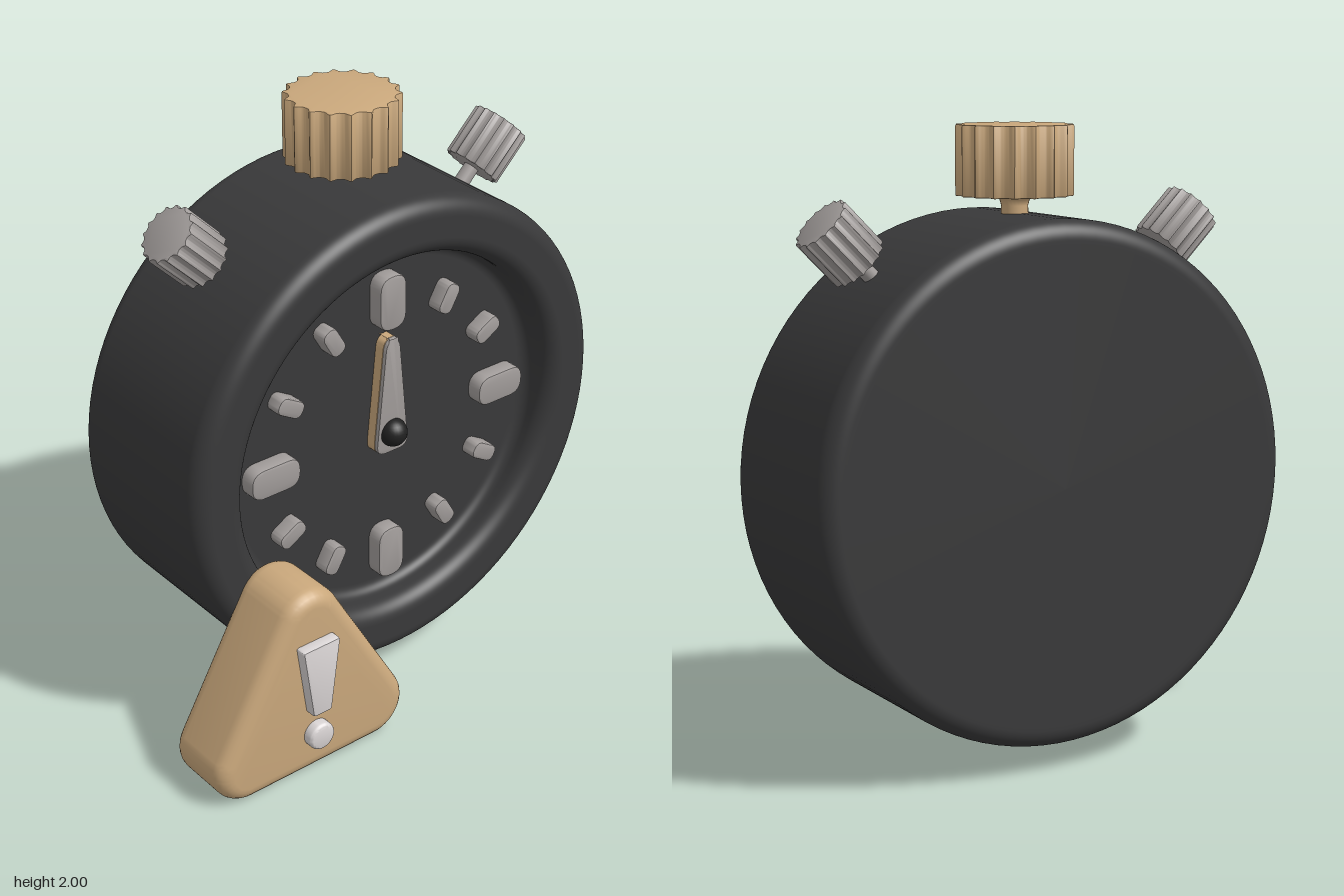
import * as THREE from 'three';
import { toCreasedNormals } from 'three/addons/utils/BufferGeometryUtils.js';

const material = (color) => new THREE.MeshStandardMaterial({ color });
const CX = 0.053, CY = 0.905, CROWN_Z = -0.142, FLOOR = 0.06;

// Closed outline with its corners rounded by r
function roundedPoly(corners, r) {
  const pts = corners.map(([x, y]) => new THREE.Vector2(x, y));
  const shape = new THREE.Shape();
  pts.forEach((p, i) => {
    const prev = pts[(i + pts.length - 1) % pts.length];
    const next = pts[(i + 1) % pts.length];
    const a = prev.clone().sub(p).setLength(r).add(p);
    const b = next.clone().sub(p).setLength(r).add(p);
    if (i === 0) shape.moveTo(a.x, a.y); else shape.lineTo(a.x, a.y);
    shape.quadraticCurveTo(p.x, p.y, b.x, b.y);
  });
  shape.closePath();
  return shape;
}

// Solid of the outline between z0 and z1, with a bevel kept inside the outline
function slab(shape, z0, z1, bevel, segments = 2, curveSegments = 8) {
  const geo = new THREE.ExtrudeGeometry(shape, {
    depth: z1 - z0 - 2 * bevel, bevelEnabled: true, bevelThickness: bevel,
    bevelSize: bevel, bevelOffset: -bevel, bevelSegments: segments, curveSegments,
  });
  geo.translate(0, 0, z0 + bevel);
  return toCreasedNormals(geo, 0.7);
}

// Knob along y, centred on its own origin, with narrow rounded ridges
function knob(radius, height, ridges) {
  const pts = [], n = ridges * 12;
  for (let i = 0; i < n; i++) {
    const a = (i / n) * Math.PI * 2;
    const r = radius * (0.9 + 0.1 * Math.cos(a * ridges / 2) ** 4);
    pts.push(new THREE.Vector2(r * Math.cos(a), r * Math.sin(a)));
  }
  const geo = slab(new THREE.Shape(pts), -height / 2, height / 2, 0.005, 2);
  return geo.rotateX(-Math.PI / 2);
}

export function createModel() {
  const model = new THREE.Group();
  model.name = 'stopwatch';
  const dark = material(0x39393a), black = material(0x202020);
  const tan = material(0xcaa87c), grey = material(0xa29d9b), pale = material(0xdad5d5);

  const add = (name, geo, mat, parent = model) => {
    const mesh = new THREE.Mesh(geo, mat);
    mesh.name = name;
    parent.add(mesh);
    return mesh;
  };

  // Case: one turned profile with rounded rims and a recessed dial
  const R = 0.821, back = -0.456, front = 0.18, f = 0.062, PI = Math.PI;
  const profile = new THREE.Path();
  profile.moveTo(0, back);
  profile.lineTo(R - f - 0.01, back);
  profile.absarc(R - f, back + f, f, -PI / 2, 0, false);
  profile.absarc(R - f, front - f, f, 0, PI / 2, false);
  profile.absarc(0.69, front - 0.06, 0.06, PI / 2, PI, false);
  profile.absarc(0.59, FLOOR + 0.04, 0.04, 0, -PI / 2, true);
  profile.lineTo(0.57, FLOOR);
  profile.lineTo(0, FLOOR);
  const caseGeo = new THREE.LatheGeometry(profile.getPoints(10), 96);
  caseGeo.rotateX(PI / 2);
  add('case', caseGeo, dark).position.set(CX, CY, 0);

  // Dial: twelve markers, long at the quarters
  const dial = new THREE.Group();
  dial.name = 'dial';
  dial.position.set(CX, CY, 0);
  model.add(dial);
  const marker = (w, h, r) => slab(roundedPoly(
    [[-w / 2, -h / 2], [w / 2, -h / 2], [w / 2, h / 2], [-w / 2, h / 2]], r), FLOOR - 0.01, 0.115, 0.008);
  const longMarker = marker(0.106, 0.19, 0.05);
  const shortMarker = marker(0.06, 0.106, 0.028);
  for (let i = 0; i < 12; i++) {
    const a = (i / 12) * PI * 2;
    const mesh = add(i % 3 ? 'shortMarker' : 'longMarker', i % 3 ? shortMarker : longMarker, grey, dial);
    mesh.position.set(Math.sin(a) * 0.468, Math.cos(a) * 0.468, 0);
    mesh.rotation.z = -a;
  }

  // Hand with a coloured underside, and the hub on top
  const handShape = roundedPoly([[-0.067, -0.073], [0.067, -0.073], [0.026, 0.342], [-0.026, 0.342]], 0.04);
  add('handBase', slab(handShape, FLOOR, 0.1, 0.002, 1), tan, dial);
  add('hand', slab(handShape, 0.098, 0.115, 0.004), grey, dial);
  add('hub', new THREE.SphereGeometry(0.048, 24, 16), black, dial).position.z = 0.115;

  // Crown and its flared stem
  add('crown', knob(0.186, 0.22, 18), tan).position.set(CX, 1.89, CROWN_Z);
  const stem = [[0.045, 1.68], [0.042, 1.75], [0.047, 1.768], [0.07, 1.785]];
  add('crownStem', new THREE.LatheGeometry(stem.map(([x, y]) => new THREE.Vector2(x, y)), 24), tan)
    .position.set(CX, 0, CROWN_Z);

  // Two side buttons leaning out at 45 degrees
  const buttonGeo = knob(0.098, 0.178, 16);
  const buttonStemGeo = new THREE.CylinderGeometry(0.026, 0.026, 0.16, 20);
  for (const side of [1, -1]) {
    const button = new THREE.Group();
    button.name = side > 0 ? 'leftButton' : 'rightButton';
    button.position.set(CX + side * 0.603, 1.658, CROWN_Z);
    button.rotation.z = -side * PI / 4;
    add('buttonCap', buttonGeo, grey, button);
    add('buttonStem', buttonStemGeo, grey, button).position.y = -0.14;
    model.add(button);
  }

  // Warning sign: rounded triangle with a raised exclamation mark
  const sign = new THREE.Group();
  sign.name = 'warningSign';
  sign.position.x = -0.507;
  model.add(sign);
  const r = 0.12, tilt = Math.atan2(0.25, 0.435);
  const triangle = new THREE.Shape();
  triangle.absarc(0.25, r, r, -PI / 2, tilt, false);
  triangle.absarc(0, 0.555, r, tilt, PI - tilt, false);
  triangle.absarc(-0.25, r, r, PI - tilt, PI * 1.5, false);
  add('signPlate', slab(triangle, 0.158, 0.42, 0.05, 6, 14), tan, sign);
  const bar = roundedPoly([[-0.036, 0.245], [0.036, 0.245], [0.072, 0.508], [-0.072, 0.508]], 0.01);
  add('exclamationBar', slab(bar, 0.4, 0.459, 0.009), pale, sign);
  const dot = new THREE.Shape().absarc(0, 0.15, 0.048, 0, PI * 2, false);
  add('exclamationDot', slab(dot, 0.4, 0.459, 0.014, 4, 16), pale, sign);

  return model;
}
